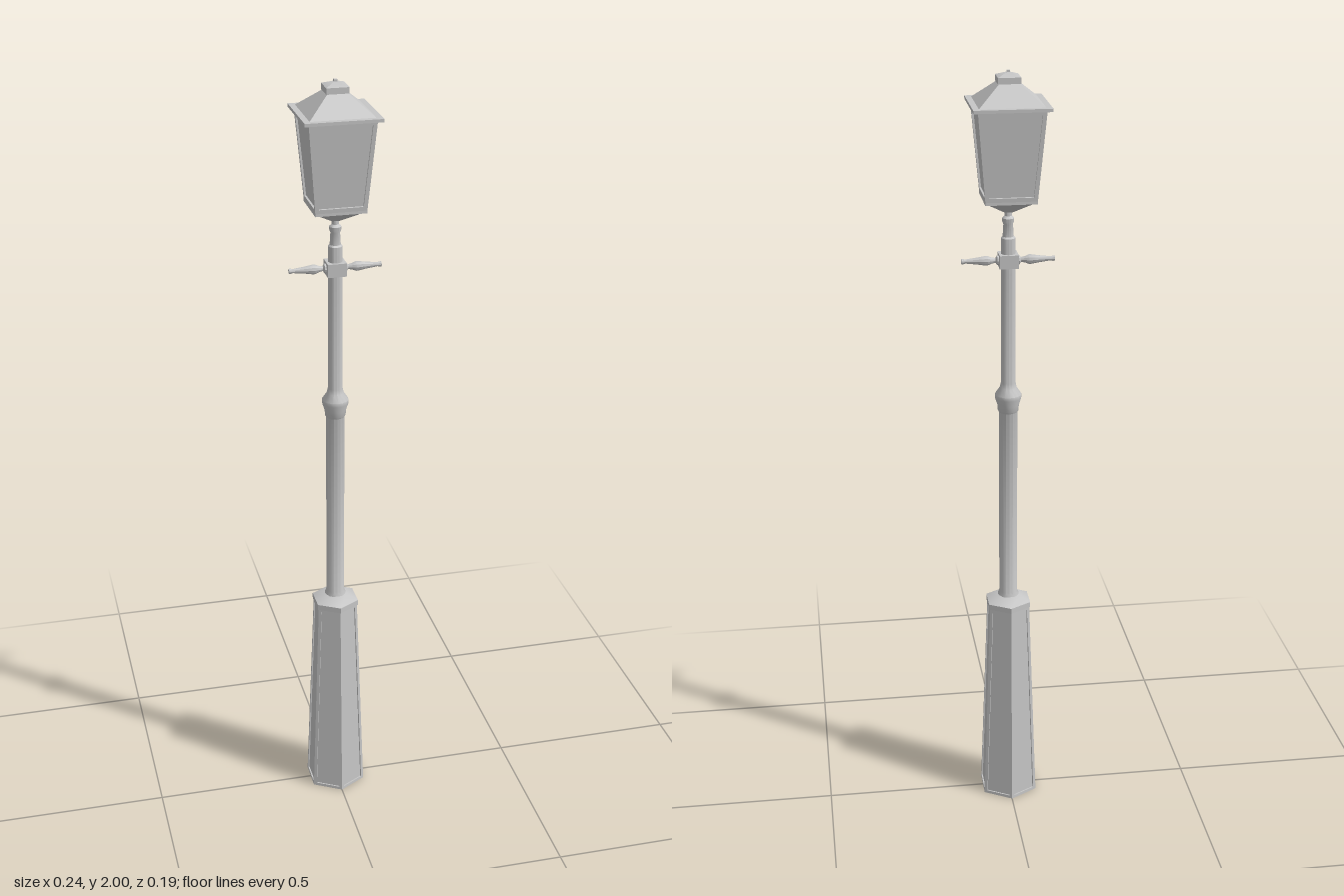
import * as THREE from 'three';
import { toCreasedNormals } from 'three/addons/utils/BufferGeometryUtils.js';

export function createModel() {
  const model = new THREE.Group();
  model.name = 'streetLamp';
  const metal = new THREE.MeshStandardMaterial({ color: 0xc6c6c6 });
  metal.name = 'grey metal';

  const add = (name, geometry, parent = model) => {
    const mesh = new THREE.Mesh(geometry, metal);
    mesh.name = name;
    parent.add(mesh);
    return mesh;
  };

  // Closed, straight-sided frustum from y0 to y1; radii are to the corners.
  const frustum = (sides, r0, r1, y0, y1) => {
    const g = new THREE.CylinderGeometry(r1, r0, y1 - y0, sides);
    if (sides === 4) g.rotateY(Math.PI / 4);
    return toCreasedNormals(g.translate(0, (y0 + y1) / 2, 0), 0.5);
  };
  // Square frustum given by half widths.
  const square = (h0, h1, y0, y1) => frustum(4, h0 * Math.SQRT2, h1 * Math.SQRT2, y0, y1);

  const turned = (points, sides) => toCreasedNormals(
    new THREE.LatheGeometry(points.map(([r, y]) => new THREE.Vector2(r, y)), sides), 0.6);

  // Ring of tilted trapezoid frames, one on each side of a tapered prism.
  function frames(name, sides, a0, a1, y0, y1, border, depth) {
    const group = new THREE.Group();
    group.name = name;
    const k = Math.tan(Math.PI / sides);
    const height = Math.hypot(y1 - y0, a1 - a0);
    const half = (y) => k * (a0 + (a1 - a0) * y / height);
    const top = height - border;
    const shape = new THREE.Shape([
      new THREE.Vector2(-half(0), 0), new THREE.Vector2(half(0), 0),
      new THREE.Vector2(half(height), height), new THREE.Vector2(-half(height), height)]);
    shape.holes.push(new THREE.Path([
      new THREE.Vector2(-half(border) + border, border), new THREE.Vector2(-half(top) + border, top),
      new THREE.Vector2(half(top) - border, top), new THREE.Vector2(half(border) - border, border)]));
    const geometry = new THREE.ExtrudeGeometry(shape, { depth, bevelEnabled: false })
      .translate(0, 0, -depth)
      .rotateX(Math.atan2(a1 - a0, y1 - y0))
      .translate(0, y0, a0);
    for (let i = 0; i < sides; i++) {
      add(name + 'Side', geometry, group).rotation.y = (i + 0.5) * 2 * Math.PI / sides + (sides === 4 ? Math.PI / 4 : 0);
    }
    model.add(group);
  }

  // Hexagonal base with recessed panels and a sloping cap
  add('basePanels', frustum(6, 0.079, 0.058, 0, 0.57));
  frames('baseFrame', 6, 0.072, 0.053, 0, 0.575, 0.008, 0.005);
  add('baseRim', frustum(6, 0.064, 0.064, 0.573, 0.588));
  add('baseCap', frustum(6, 0.064, 0.03, 0.588, 0.604));

  // Turned column with its middle collar and the neck under the lantern
  add('column', turned([
    [0.03, 0.59], [0.028, 0.605], [0.024, 0.615], [0.024, 1.13], [0.027, 1.135],
    [0.028, 1.15], [0.034, 1.168], [0.034, 1.178], [0.022, 1.196], [0.019, 1.21],
    [0.018, 1.5], [0.018, 1.59], [0.014, 1.594], [0.012, 1.625], [0.015, 1.632],
    [0.015, 1.64], [0.009, 1.646], [0.009, 1.665],
  ], 16));

  // Ladder rest: central block and two tapered arms
  add('ladderRestBlock', new THREE.BoxGeometry(0.048, 0.034, 0.048).translate(0, 1.533, 0));
  for (const side of [1, -1]) {
    const arm = add('ladderRestArm', turned([
      [0.012, 0.022], [0.012, 0.028], [0.006, 0.032], [0.008, 0.042], [0.012, 0.052],
      [0.012, 0.057], [0.009, 0.075], [0.006, 0.1], [0.005, 0.107], [0.0065, 0.112],
      [0.0065, 0.117], [0, 0.118],
    ], 10));
    arm.rotation.z = -side * Math.PI / 2;
    arm.position.y = 1.533;
  }

  // Lantern: funnel, recessed panes and framed sides
  add('lanternFunnel', square(0.01, 0.06, 1.656, 1.69));
  add('lanternFloor', square(0.064, 0.064, 1.688, 1.697));
  add('lanternPanes', square(0.059, 0.078, 1.696, 1.918));
  frames('lanternFrame', 4, 0.064, 0.083, 1.695, 1.918, 0.01, 0.007);

  // Roof: eave, hipped slopes, chimney cap and knob
  add('eave', square(0.095, 0.095, 1.916, 1.924));
  add('roof', square(0.08, 0.024, 1.924, 1.972));
  add('roofCap', square(0.028, 0.028, 1.971, 1.986));
  add('roofCapTop', square(0.028, 0.005, 1.986, 1.995));
  add('roofKnob', square(0.004, 0.004, 1.993, 2));

  return model;
}
